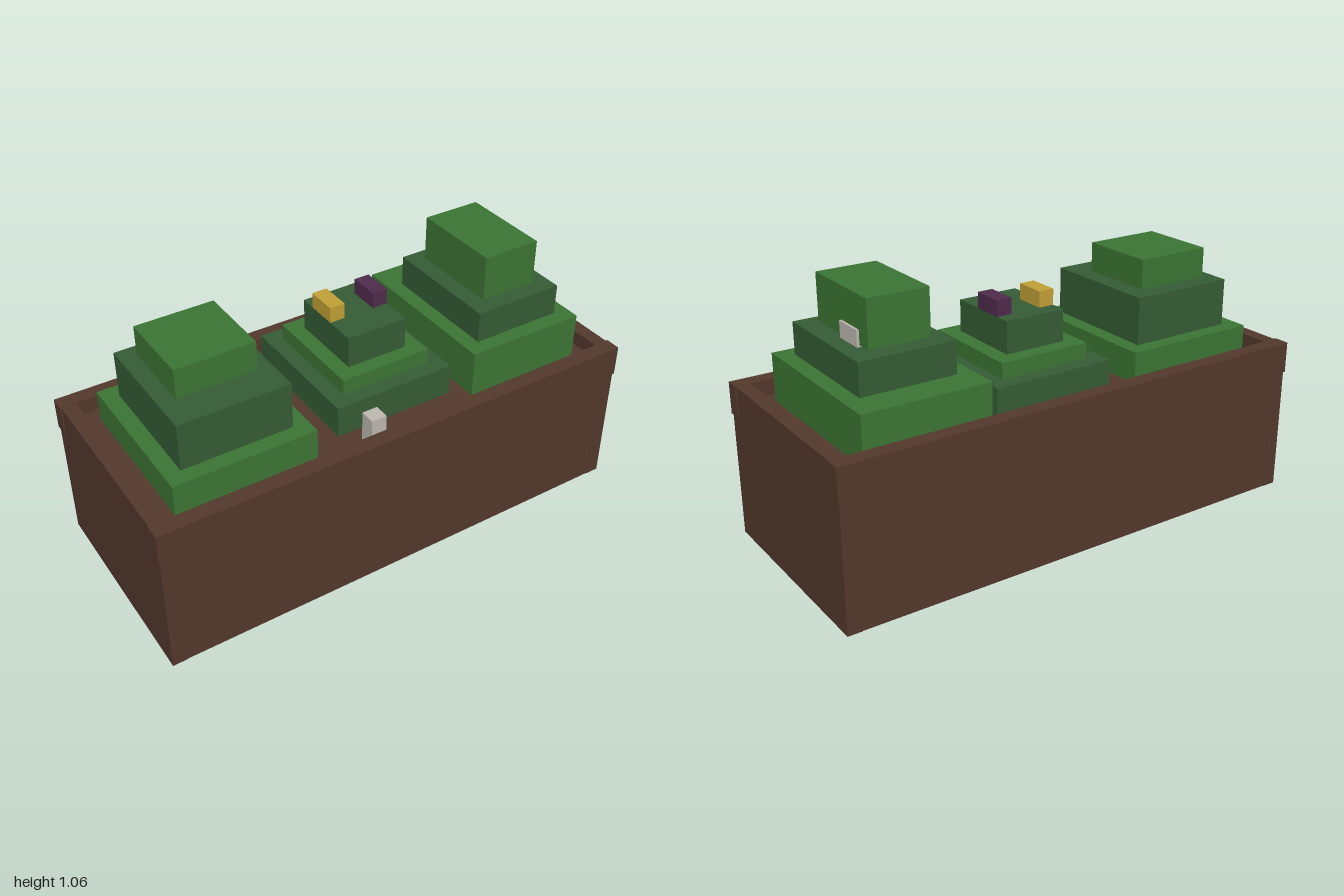
import * as THREE from 'three';

function paint(name, color) {
  const m = new THREE.MeshStandardMaterial({ color });
  m.name = name;
  return m;
}

export function createModel() {
  const wood = paint('brown wood', 0x53392d);
  const light = paint('light leaf green', 0x3c7534);
  const dark = paint('dark leaf green', 0x355c34);
  const white = paint('pale petal', 0xbdb8b0);
  const yellow = paint('yellow petal', 0xc2a035);
  const purple = paint('purple petal', 0x4f2b4c);

  const model = new THREE.Group();
  model.name = 'planterBox';

  // Box given by its minimum and maximum on each axis
  function block(parent, name, material, [x0, x1], [y0, y1], [z0, z1]) {
    const mesh = new THREE.Mesh(new THREE.BoxGeometry(x1 - x0, y1 - y0, z1 - z0), material);
    mesh.position.set((x0 + x1) / 2, (y0 + y1) / 2, (z0 + z1) / 2);
    mesh.name = name;
    parent.add(mesh);
  }

  // Trough: solid soil-filled core, end walls, and overhanging rails along front and back
  const trough = new THREE.Group();
  trough.name = 'trough';
  model.add(trough);
  const soil = 0.5625;
  block(trough, 'soilCore', wood, [-0.94, 0.94], [0, soil], [-0.431, 0.431]);
  for (const s of [-1, 1]) {
    const span = (a, b) => (s > 0 ? [a, b] : [-b, -a]);
    block(trough, 'endWall', wood, span(0.9375, 0.995), [0, 0.622], [-0.433, 0.433]);
    block(trough, 'rimRail', wood, [-1, 1], [0.5, 0.625], span(0.375, 0.4375));
  }

  // Stepped bushes: each tier is [material, x range, y range, z range]
  const bushes = {
    leftBush: [
      [light, [-0.875, -0.3125], [soil, 0.6875], [-0.3125, 0.3125]],
      [dark, [-0.8125, -0.375], [0.6875, 0.875], [-0.25, 0.25]],
      [light, [-0.75, -0.4375], [0.882, 1], [-0.1875, 0.125]],
    ],
    middleBush: [
      [dark, [-0.1875, 0.3125], [soil, 0.6875], [-0.3125, 0.25]],
      [light, [-0.125, 0.25], [0.6875, 0.75], [-0.25, 0.1875]],
      [dark, [-0.0625, 0.1875], [0.75, 0.875], [-0.1875, 0.125]],
    ],
    rightBush: [
      [light, [0.375, 0.875], [soil, 0.75], [-0.375, 0.3125]],
      [dark, [0.4375, 0.8125], [0.75, 0.875], [-0.25, 0.25]],
      [light, [0.5, 0.74], [0.882, 1.0625], [-0.1875, 0.1875]],
    ],
  };
  for (const [name, tiers] of Object.entries(bushes)) {
    const bush = new THREE.Group();
    bush.name = name;
    tiers.forEach((tier, i) => block(bush, `leafTier${i + 1}`, ...tier));
    model.add(bush);
  }

  // Flowers
  block(model, 'yellowFlower', yellow, [-0.0625, 0], [0.875, 0.9375], [-0.125, 0]);
  block(model, 'purpleFlower', purple, [0.125, 0.1875], [0.875, 0.9375], [-0.125, 0]);
  block(model, 'paleSideFlower', white, [0.6875, 0.75], [0.875, 0.9375], [-0.125, 0]);
  block(model, 'paleFrontFlower', white, [-0.125, -0.0625], [soil, 0.6875], [0.3125, 0.375]);

  return model;
}
